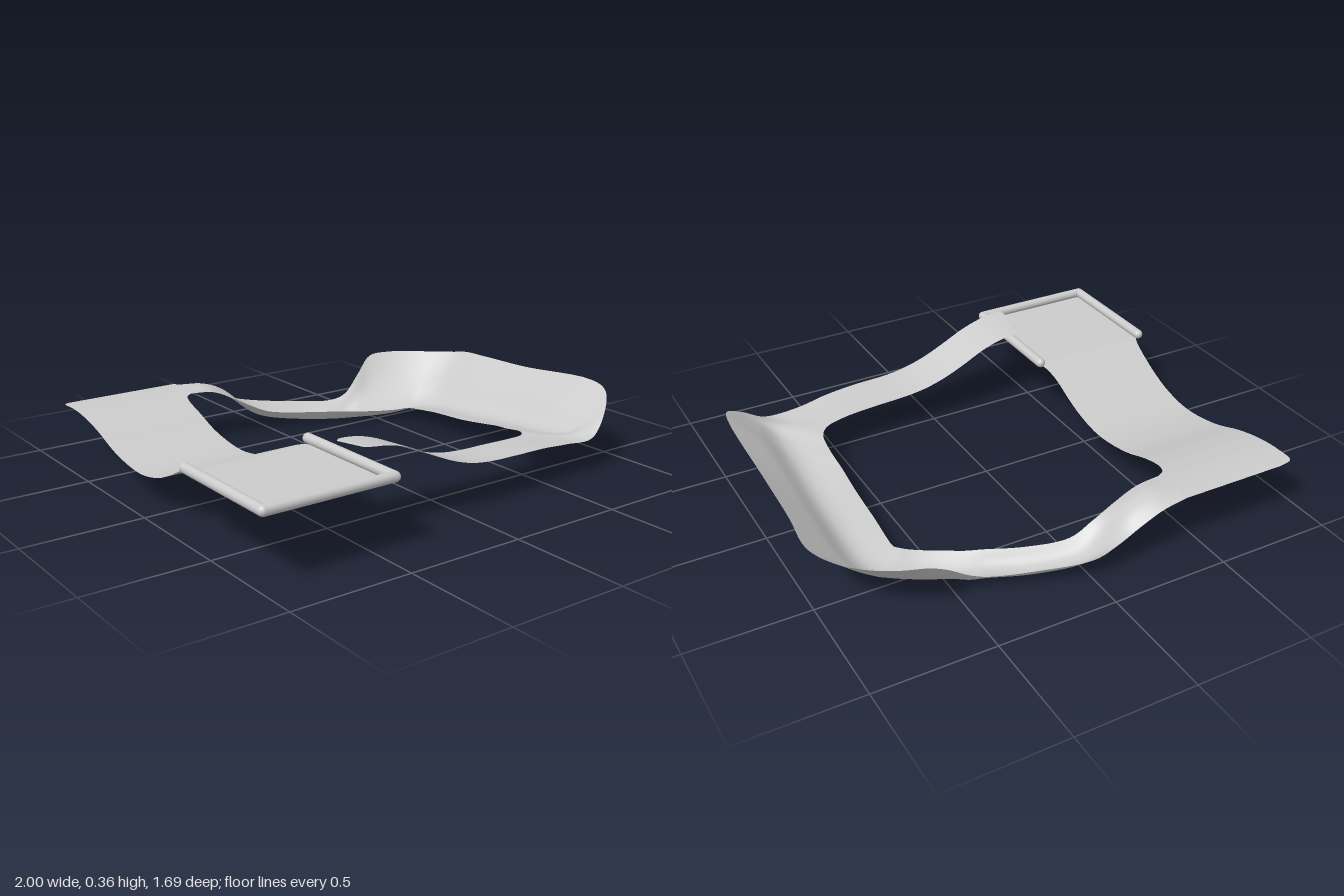
import * as THREE from 'three';

const material = new THREE.MeshStandardMaterial({ color: 0xcccccc, side: THREE.DoubleSide });
const V = (p) => new THREE.Vector3(...p);

// Smooth sheet through a list of cross-sections (each the same number of points)
function ribbon(name, sections, stepsAlong, stepsAcross) {
  const rails = sections[0].map((_, k) => new THREE.CatmullRomCurve3(sections.map((s) => V(s[k]))));
  const nu = (sections.length - 1) * stepsAlong;
  const pos = [], idx = [];
  for (let i = 0; i <= nu; i++) {
    const across = new THREE.CatmullRomCurve3(rails.map((r) => r.getPoint(i / nu)));
    for (let j = 0; j <= stepsAcross; j++) pos.push(...across.getPoint(j / stepsAcross).toArray());
  }
  const w = stepsAcross + 1;
  for (let i = 0; i < nu; i++) {
    for (let j = 0; j < stepsAcross; j++) {
      const a = i * w + j, b = a + 1, c = a + w, d = c + 1;
      idx.push(a, c, b, b, c, d);
    }
  }
  const geo = new THREE.BufferGeometry();
  geo.setAttribute('position', new THREE.Float32BufferAttribute(pos, 3));
  geo.setIndex(idx);
  geo.computeVertexNormals();
  const mesh = new THREE.Mesh(geo, material);
  mesh.name = name;
  return mesh;
}

// Straight cross-section between an outer and an inner point
const straight = (o, i) => [0, 1 / 3, 2 / 3, 1].map((t) => V(o).lerp(V(i), t).toArray());

export function createModel() {
  const group = new THREE.Group();
  group.name = 'strapFrame';

  // Front arm: x, outer y, inner y, outer z, inner z
  const arm = [
    [-0.46, 0.358, 0.338, 0.67, 0.51], [-0.44, 0.36, 0.338, 0.69, 0.49],
    [-0.35, 0.348, 0.33, 0.69, 0.487], [-0.25, 0.317, 0.3, 0.688, 0.485],
    [-0.15, 0.27, 0.252, 0.687, 0.484], [-0.05, 0.226, 0.21, 0.686, 0.483],
    [0.05, 0.196, 0.182, 0.685, 0.482], [0.15, 0.182, 0.17, 0.682, 0.48],
    [0.3, 0.177, 0.165, 0.68, 0.475], [0.45, 0.17, 0.158, 0.668, 0.465],
  ].map(([x, yo, yi, zo, zi]) => straight([x, yo, zo], [x, yi, zi]));

  // Front corner and creased right side: outer edge, slope, crease, inner edge
  const side = [
    straight([0.6, 0.153, 0.65], [0.545, 0.15, 0.44]),
    [[0.75, 0.15, 0.65], [0.7, 0.148, 0.58], [0.65, 0.147, 0.5], [0.585, 0.145, 0.39]],
    [[0.86, 0.225, 0.61], [0.8, 0.18, 0.57], [0.735, 0.138, 0.51], [0.597, 0.132, 0.3]],
    [[0.95, 0.295, 0.53], [0.85, 0.21, 0.47], [0.75, 0.13, 0.42], [0.6, 0.125, 0.22]],
    [[0.98, 0.315, 0.42], [0.865, 0.22, 0.35], [0.755, 0.12, 0.3], [0.6, 0.115, 0.15]],
    [[0.983, 0.285, 0], [0.87, 0.185, 0], [0.76, 0.09, 0], [0.605, 0.095, 0]],
    [[0.99, 0.275, -0.3], [0.875, 0.17, -0.28], [0.765, 0.07, -0.25], [0.61, 0.08, -0.2]],
    [[1, 0.265, -0.44], [0.875, 0.155, -0.39], [0.76, 0.055, -0.35], [0.613, 0.065, -0.32]],
  ];

  // Raised rear corner
  const corner = [
    [[0.985, 0.255, -0.5], [0.86, 0.14, -0.46], [0.745, 0.045, -0.42], [0.61, 0.06, -0.365]],
    [[0.93, 0.246, -0.59], [0.81, 0.12, -0.53], [0.7, 0.03, -0.47], [0.59, 0.06, -0.39]],
    [[0.85, 0.245, -0.67], [0.74, 0.1, -0.57], [0.64, 0.02, -0.49], [0.565, 0.055, -0.405]],
    [[0.75, 0.245, -0.73], [0.66, 0.09, -0.61], [0.58, 0.01, -0.51], [0.53, 0.052, -0.425]],
    [[0.65, 0.235, -0.755], [0.58, 0.08, -0.64], [0.52, 0.005, -0.535], [0.49, 0.05, -0.447]],
    [[0.55, 0.165, -0.72], [0.5, 0.05, -0.64], [0.46, 0.002, -0.56], [0.44, 0.05, -0.475]],
    [[0.45, 0.085, -0.695], [0.42, 0.012, -0.635], [0.4, 0.002, -0.575], [0.38, 0.05, -0.51]],
  ];

  // Rear arm, dished then rising to the wide strap
  const rear = [
    [[0.38, 0.062, -0.71], [0.35, 0.008, -0.65], [0.33, 0.006, -0.59], [0.31, 0.055, -0.545]],
    [[0.2, 0.07, -0.78], [0.19, 0.012, -0.72], [0.18, 0.014, -0.66], [0.17, 0.06, -0.612]],
    ...[
      [0, 0.095, 0.05, 0.045, 0.08], [-0.1, 0.125, 0.112, 0.105, 0.125],
      [-0.2, 0.175, 0.2, 0.2, 0.18], [-0.3, 0.218, 0.24, 0.242, 0.225],
      [-0.41, 0.24, 0.245, 0.244, 0.238],
    ].map(([x, ...ys]) => ys.map((y, k) => [x, y, -0.85 + 0.06 * k])),
  ];
  group.add(ribbon('bandLoop', [...arm, ...side, ...corner, ...rear], 6, 18));

  // Wide strap: z, y, left edge x, right edge x
  const strap = [
    [-0.85, 0.24, -0.87, -0.4], [-0.835, 0.242, -0.935, -0.4], [-0.75, 0.245, -0.94, -0.4],
    [-0.675, 0.24, -0.94, -0.405], [-0.65, 0.236, -0.94, -0.44], [-0.6, 0.228, -0.94, -0.46],
    [-0.5, 0.202, -0.94, -0.468], [-0.35, 0.152, -0.94, -0.47], [-0.15, 0.125, -0.94, -0.47],
    [0, 0.148, -0.94, -0.47], [0.1, 0.186, -0.94, -0.468], [0.2, 0.235, -0.942, -0.463],
    [0.27, 0.26, -0.955, -0.45], [0.32, 0.266, -0.975, -0.435],
    [0.5, 0.266, -0.98, -0.43], [0.82, 0.266, -0.98, -0.43],
  ].map(([z, y, xl, xr]) => straight([xl, y, z], [xr, y, z]));
  group.add(ribbon('wideStrap', strap, 5, 6));

  // Rounded rim around three sides of the end plate
  const r = 0.021, y = 0.284;
  const rim = new THREE.Group();
  rim.name = 'plateRim';
  const bar = (x, z, length, along) => {
    const mesh = new THREE.Mesh(new THREE.CapsuleGeometry(r, length - 2 * r, 6, 16), material);
    if (along === 'z') mesh.rotation.x = Math.PI / 2;
    else mesh.rotation.z = Math.PI / 2;
    mesh.position.set(x, y, z);
    mesh.name = 'rimBar';
    rim.add(mesh);
  };
  bar(-0.979, 0.56, 0.56, 'z');
  bar(-0.433, 0.55, 0.58, 'z');
  bar(-0.706, 0.819, 0.588, 'x');
  group.add(rim);

  return group;
}
